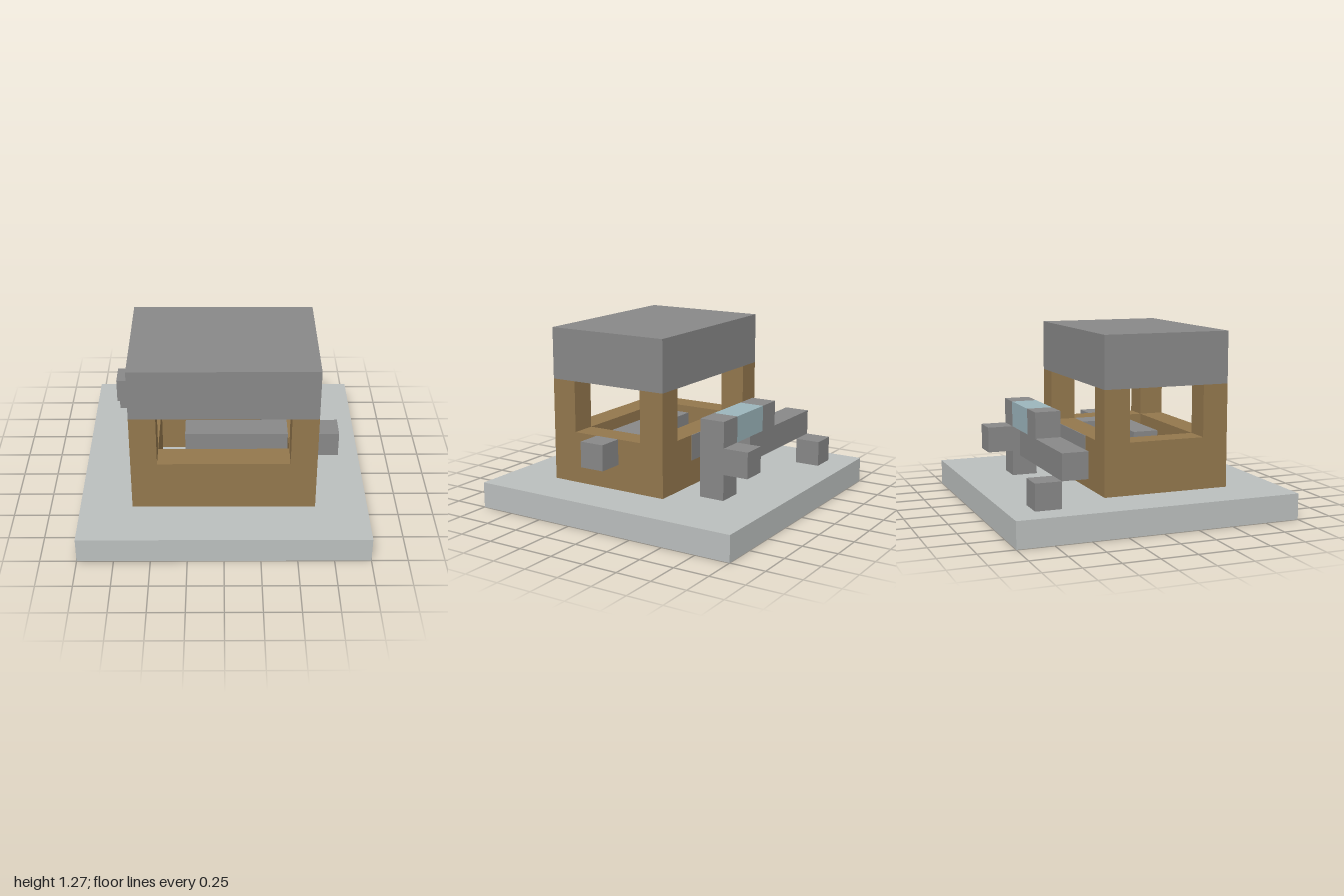
import * as THREE from 'three';

const U = 2 / 11; // one block of the 11 x 11 grid

function material(name, color) {
  const m = new THREE.MeshStandardMaterial({ color });
  m.name = name;
  return m;
}

export function createModel() {
  const group = new THREE.Group();
  const stone = material('stone grey', 0x888888);
  const paving = material('pale paving', 0xbbbfbe);
  const wood = material('brown wood', 0x93774d);
  const glass = material('pale blue glass', 0x9cb5bc);

  // Box spanning grid lines x0..x1, y0..y1, z0..z1 (in blocks)
  function block(name, mat, x0, x1, y0, y1, z0, z1, parent = group) {
    const mesh = new THREE.Mesh(
      new THREE.BoxGeometry((x1 - x0) * U, (y1 - y0) * U, (z1 - z0) * U), mat);
    mesh.position.set((x0 + x1) / 2 * U - 1, (y0 + y1) / 2 * U, (z0 + z1) / 2 * U - 1);
    mesh.name = name;
    parent.add(mesh);
    return mesh;
  }

  block('base', paving, 0, 11, 0, 1, 0, 11);

  // Booth: low walls, corner posts and a thick flat roof
  const booth = new THREE.Group();
  booth.name = 'booth';
  group.add(booth);
  block('frontWall', wood, 2, 9, 1, 3, 8, 9, booth);
  block('backWall', wood, 2, 9, 1, 3, 4, 5, booth);
  for (const [name, x] of [['rightWall', 2], ['leftWall', 8]]) {
    block(name, wood, x, x + 1, 1, 3, 5, 8, booth);
  }
  for (const x of [2, 8]) {
    for (const z of [4, 8]) block('cornerPost', wood, x, x + 1, 3, 5, z, z + 1, booth);
  }
  block('roof', stone, 2, 9, 5, 7, 4, 9, booth);

  // Counter inside, side shelf and back panel
  block('counter', stone, 4, 8, 1, 3, 6, 7, booth);
  block('counterReturn', stone, 7, 8, 1, 3, 5, 6, booth);
  block('sideShelf', stone, 9, 10, 2, 3, 6, 7, booth);
  block('backPanel', stone, 4, 7, 2, 3, 3.97, 4, booth);

  // Stepped structure behind the booth
  const rear = new THREE.Group();
  rear.name = 'rearStructure';
  group.add(rear);
  block('rearBeam', stone, 1, 6, 2, 3, 2, 3, rear);
  block('rearColumn', stone, 7, 8, 1, 4, 2, 3, rear);
  block('upperBlock', stone, 4, 5, 3, 4, 2, 3, rear);
  block('window', glass, 5, 7, 3, 4, 2, 3, rear);
  block('columnBracket', stone, 7, 8, 2, 3, 1, 2, rear);
  block('groundBlock', stone, 1, 2, 1, 2, 1, 2, rear);

  return group;
}
